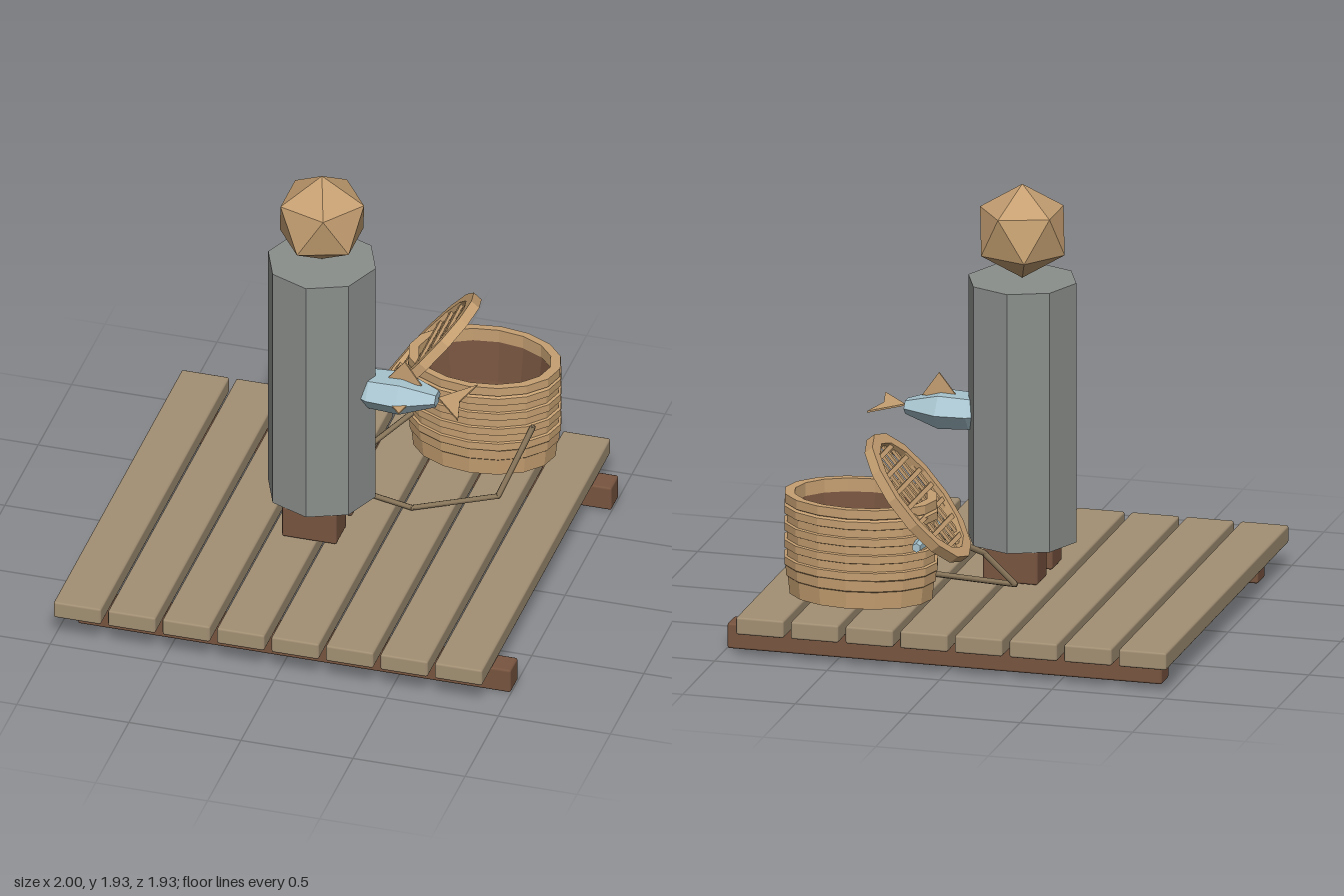
import * as THREE from 'three';
import { RoundedBoxGeometry } from 'three/addons/geometries/RoundedBoxGeometry.js';
import { ConvexGeometry } from 'three/addons/geometries/ConvexGeometry.js';

const mat = (name, color) => Object.assign(new THREE.MeshStandardMaterial({ color }), { name });

// Faceted copy of a geometry
function flat(geometry) {
  const g = geometry.index ? geometry.toNonIndexed() : geometry;
  g.computeVertexNormals();
  return g;
}

export function createModel() {
  const plankWood = mat('plank wood', 0xa39074);
  const darkWood = mat('dark wood', 0x785540);
  const stone = mat('coat grey', 0x8b8f8c);
  const tan = mat('wicker tan', 0xc6a072);
  const blue = mat('fish blue', 0xa8c4ce);
  const leather = mat('strap leather', 0x8a775b);

  const model = new THREE.Group();
  const add = (name, geometry, material, x = 0, y = 0, z = 0, parent = model) => {
    const m = new THREE.Mesh(geometry, material);
    m.name = name;
    m.position.set(x, y, z);
    parent.add(m);
    return m;
  };
  const box = (w, h, d, r = 0.01) => new RoundedBoxGeometry(w, h, d, 1, r);
  const vec = (p) => new THREE.Vector2(...p);
  const plate = (points, depth) =>
    new THREE.ExtrudeGeometry(new THREE.Shape(points.map(vec)), { depth, bevelEnabled: false });

  // Dock
  for (let i = 0; i < 8; i++)
    add('plank', box(0.213, 0.078, 1.93), plankWood, -0.891 + i * 0.243, 0.153, 0);
  for (const s of [-1, 1])
    add('beam', box(1.933, 0.113, 0.113), darkWood, 0.032, 0.0565, s * 0.755);

  // Figure
  const cx = -0.085;
  for (const s of [-1, 1])
    add('boot', box(0.245, 0.15, 0.155), darkWood, cx, 0.273, s * 0.117);
  add('body', flat(new THREE.CylinderGeometry(0.24, 0.24, 1.16, 8)), stone, cx, 0.925, 0);
  const head = [new THREE.Vector3(0, 0.21, 0), new THREE.Vector3(0, -0.21, 0)];
  for (let i = 0; i < 10; i++) {
    const a = i * Math.PI / 5;
    head.push(new THREE.Vector3(0.188 * Math.cos(a), i % 2 ? -0.094 : 0.094, 0.188 * Math.sin(a)));
  }
  add('head', new ConvexGeometry(head), tan, cx, 1.72, 0);

  // Held fish, nose towards the body
  const fish = new THREE.Group();
  fish.name = 'fish';
  fish.position.set(0, 0.893, 0);
  model.add(fish);
  const fishBody = new THREE.LatheGeometry(
    [[0, 0.03], [0.055, 0.04], [0.108, 0.14], [0.117, 0.275], [0.046, 0.43], [0, 0.43]].map(vec), 6);
  fishBody.rotateZ(-Math.PI / 2).scale(1, 0.72, 1);
  add('fishBody', flat(fishBody), blue, 0, 0, 0, fish);
  const tail = plate([[0.435, 0], [0.565, -0.145], [0.53, 0], [0.565, 0.145]], 0.008);
  add('fishTail', tail.rotateX(-Math.PI / 2), tan, 0, 0, 0, fish);
  const fin = [[0.2, 0.055], [0.36, 0.055], [0.285, 0.163]];
  add('dorsalFin', plate(fin, 0.008), tan, 0, 0, -0.004, fish);
  const sideFin = plate([[0.24, 0.09], [0.325, 0.07], [0.305, 0.16]], 0.008);
  add('sideFin', sideFin.rotateX(Math.PI / 2), tan, 0, 0.004, 0, fish);

  // Oval basket with woven bands
  const bx = 0.442, bz = -0.67;
  const wall = [[0, 0.253], [0.93, 0.253], [0.955, 0.33], [0.975, 0.335], [0.985, 0.38]];
  for (let i = 0; i < 7; i++) {
    const y = 0.385 + i * 0.038, r = i % 2 ? 0.965 : 1;
    wall.push([r, y], [r, y + 0.034]);
  }
  wall.push([0.96, 0.655], [0.99, 0.66], [0.99, 0.7], [0.86, 0.7], [0.86, 0.64]);
  const oval = (points) =>
    flat(new THREE.LatheGeometry(points.map(vec), 16).scale(0.34, 1, 0.25));
  add('basketWall', oval(wall), tan, bx, 0, bz);
  add('basketLining', oval([[0.87, 0.64], [0.8, 0.45], [0.68, 0.3], [0, 0.3]]), darkWood, bx, 0, bz);

  // Tilted open lid with a lattice
  const lid = new THREE.Group();
  lid.name = 'lid';
  lid.position.set(0.19, 0.7, bz);
  lid.rotation.z = 0.88;
  model.add(lid);
  const ring = (a, b) => Array.from({ length: 14 }, (_, i) => {
    const t = i * Math.PI / 7;
    return new THREE.Vector2(a * Math.cos(t), b * Math.sin(t));
  });
  const frame = new THREE.Shape(ring(0.33, 0.245));
  frame.holes.push(new THREE.Path(ring(0.28, 0.2)));
  const frameGeo = new THREE.ExtrudeGeometry(frame, { depth: 0.045, bevelEnabled: false });
  add('lidFrame', frameGeo.rotateX(-Math.PI / 2), tan, 0, -0.022, 0, lid);
  for (let i = -3; i <= 3; i++) {
    const x = i * 0.08, w = 0.43 * Math.sqrt(1 - (x / 0.295) ** 2);
    add('crossBar', new THREE.BoxGeometry(0.02, 0.014, w), tan, x, 0.006, 0, lid);
    const z = i * 0.062, l = 0.59 * Math.sqrt(1 - (z / 0.215) ** 2);
    add('longBar', new THREE.BoxGeometry(l, 0.014, 0.018), tan, 0, -0.006, z, lid);
  }

  // Catch lying across beneath the lid
  const caught = new THREE.LatheGeometry(
    [[0, -0.2], [0.02, -0.2], [0.036, -0.03], [0.03, 0.1], [0.012, 0.2], [0, 0.2]].map(vec), 6);
  add('caughtFish', flat(caught.rotateX(Math.PI / 2)), blue, 0.14, 0.54, bz);

  // Shoulder strap draped on the dock
  const strapPoints = [
    [0.71, 0.5, -0.49], [0.6, 0.222, -0.34], [0.265, 0.206, -0.17],
    [-0.125, 0.216, -0.255], [0, 0.36, -0.3], [0.18, 0.49, -0.47],
  ].map((p) => new THREE.Vector3(...p));
  for (let i = 0; i < strapPoints.length - 1; i++) {
    const a = strapPoints[i], b = strapPoints[i + 1];
    const path = new THREE.LineCurve3(a, b);
    add('strap', new THREE.TubeGeometry(path, 1, 0.013, 6), leather);
    add('strapJoint', new THREE.IcosahedronGeometry(0.014, 0), leather, a.x, a.y, a.z);
  }
  return model;
}
